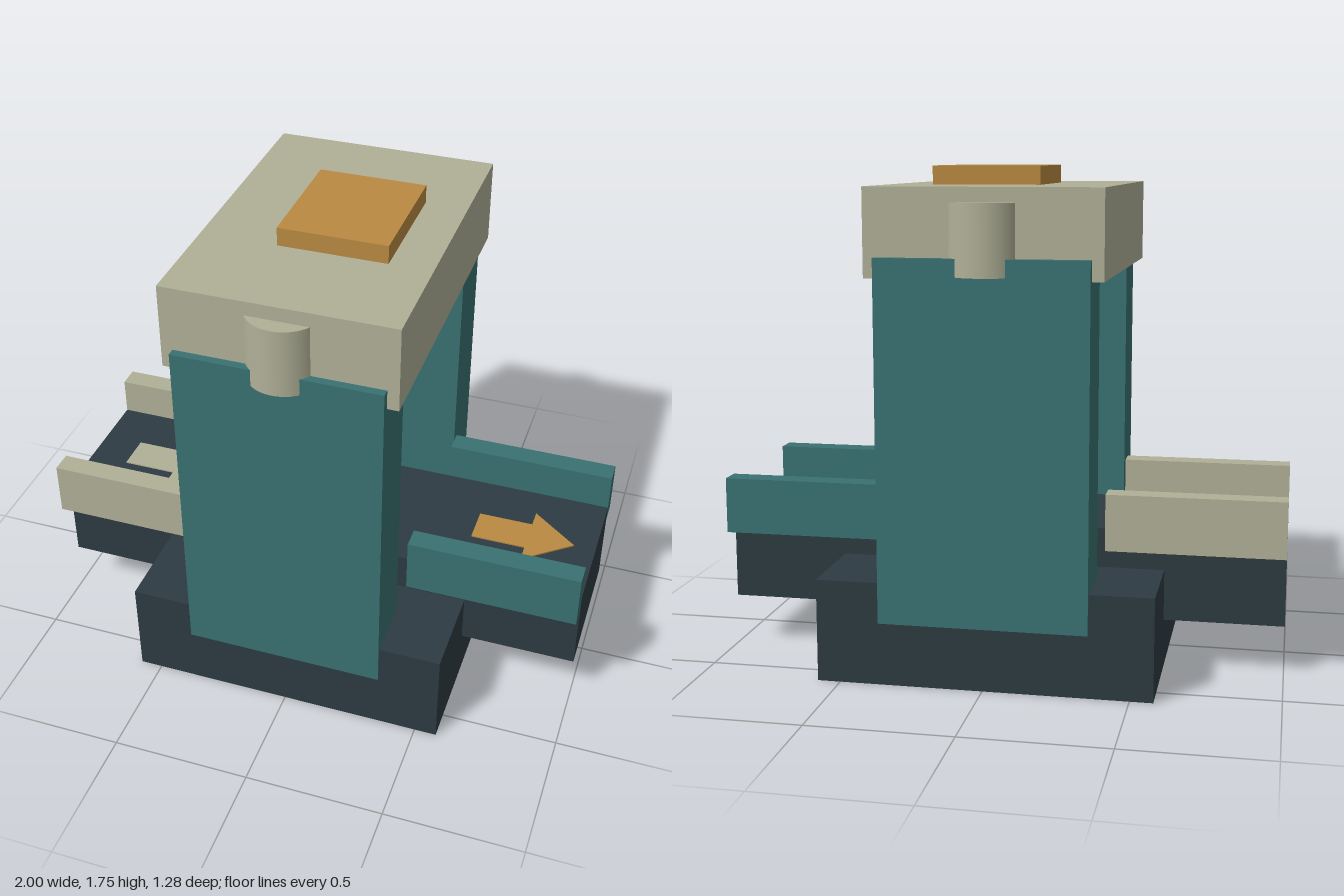
import * as THREE from 'three';

const paint = (color) => new THREE.MeshStandardMaterial({ color });

export function createModel() {
  const model = new THREE.Group();
  const dark = paint(0x2e3b42);
  const teal = paint(0x3a7272);
  const cream = paint(0xb0b098);
  const orange = paint(0xba8a42);
  const curtain = paint(0x728886);

  const add = (name, geometry, material) => {
    const mesh = new THREE.Mesh(geometry, material);
    mesh.name = name;
    model.add(mesh);
    return mesh;
  };
  // Box given by its limits along each axis
  const box = (name, material, [x0, x1], [y0, y1], [z0, z1]) =>
    add(name, new THREE.BoxGeometry(x1 - x0, y1 - y0, z1 - z0), material)
      .position.set((x0 + x1) / 2, (y0 + y1) / 2, (z0 + z1) / 2);

  // Base and the conveyor running through it
  box('base', dark, [-0.58, 0.58], [0, 0.36], [-0.6, 0.6]);
  box('conveyor', dark, [-1, 1], [0.18, 0.5], [-0.26, 0.26]);

  // Side towers, hinge barrels and guide rails, mirrored front to back
  for (const [side, s] of [['front', 1], ['back', -1]]) {
    const z = (a, b) => (s > 0 ? [a, b] : [-b, -a]);
    box(side + 'Tower', teal, [-0.36, 0.36], [0.22, 1.46], z(0.39, 0.61));
    add(side + 'Barrel', new THREE.CylinderGeometry(0.13, 0.13, 0.24, 40), cream)
      .position.set(0, 1.52, s * 0.51);
    box(side + 'InletRail', cream, [-1, -0.38], [0.44, 0.64], z(0.26, 0.34));
    box(side + 'OutletRail', teal, [0.38, 1], [0.44, 0.64], z(0.26, 0.34));
  }

  // Bridge across the towers with its off-centre top panel
  box('bridge', cream, [-0.4, 0.4], [1.39, 1.69], [-0.58, 0.58]);
  box('topPanel', orange, [-0.13, 0.25], [1.69, 1.755], [-0.22, 0.22]);

  // Hanging curtain strips
  for (let i = -2; i <= 2; i++) {
    const z = i * 0.14;
    box('curtainStrip', curtain, [-0.08, 0.08], [0.6, 1.4], [z - 0.027, z + 0.027]);
  }

  // Flat direction arrows on the belt
  const outline = [[0, -0.067], [0.2, -0.067], [0.2, -0.135], [0.37, 0],
    [0.2, 0.135], [0.2, 0.067], [0, 0.067]];
  const arrow = new THREE.ExtrudeGeometry(
    new THREE.Shape(outline.map(([x, y]) => new THREE.Vector2(x, y))),
    { depth: 0.006, bevelEnabled: false }
  ).rotateX(-Math.PI / 2);
  add('inletArrow', arrow, cream).position.set(-0.85, 0.499, 0);
  add('outletArrow', arrow, orange).position.set(0.55, 0.499, 0);

  return model;
}
